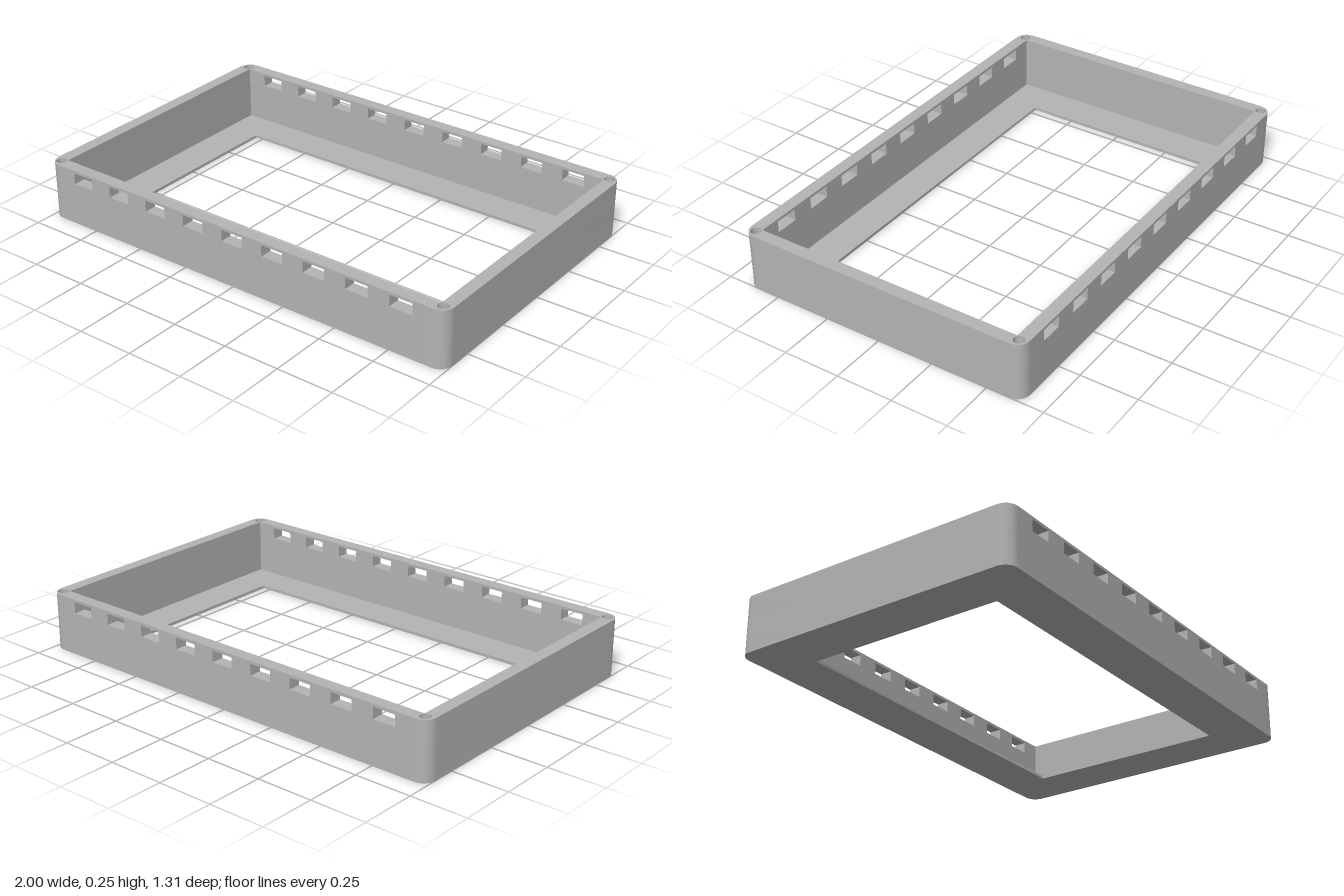
import * as THREE from 'three';
import { toCreasedNormals } from 'three/addons/utils/BufferGeometryUtils.js';

const W = 1, D = 0.656, H = 0.253;      // outer half width, half depth, height
const IW = 0.945, ID = 0.601;           // inner half sizes of the walls
const R = 0.055;                        // outer corner radius
const FLOOR = 0.013;                    // base plate thickness
const JOIN = 0.9;                       // where long walls meet the end pieces
const HOLE_BOTTOM = 0.15;               // depth level of the blind screw holes

function roundedRect(path, w, d, r) {
  path.moveTo(-w + r, -d);
  path.lineTo(w - r, -d);
  path.absarc(w - r, -d + r, r, -Math.PI / 2, 0);
  path.lineTo(w, d - r);
  path.absarc(w - r, d - r, r, 0, Math.PI / 2);
  path.lineTo(-w + r, d);
  path.absarc(-w + r, d - r, r, Math.PI / 2, Math.PI);
  path.lineTo(-w, -d + r);
  path.absarc(-w + r, -d + r, r, Math.PI, Math.PI * 1.5);
  return path;
}

// C-shaped plan of one end wall with its two rounded corners
function endPlan(withHoles) {
  const s = new THREE.Shape();
  s.moveTo(JOIN, -D);
  s.lineTo(W - R, -D);
  s.absarc(W - R, -D + R, R, -Math.PI / 2, 0);
  s.lineTo(W, D - R);
  s.absarc(W - R, D - R, R, 0, Math.PI / 2);
  s.lineTo(JOIN, D);
  s.lineTo(JOIN, ID);
  s.lineTo(IW, ID);
  s.lineTo(IW, -ID);
  s.lineTo(JOIN, -ID);
  s.closePath();
  if (withHoles) {
    for (const z of [-0.619, 0.619]) {
      s.holes.push(new THREE.Path().absarc(0.963, z, 0.0225, 0, Math.PI * 2, true));
    }
  }
  return s;
}

// Extrude a plan upward between two heights
function slab(shape, y0, y1) {
  const g = new THREE.ExtrudeGeometry(shape, { depth: y1 - y0, bevelEnabled: false, curveSegments: 12 });
  g.rotateX(-Math.PI / 2);
  g.translate(0, y0, 0);
  return toCreasedNormals(g, 0.6);
}

export function createModel() {
  const model = new THREE.Group();
  model.name = 'slottedFrame';
  const grey = new THREE.MeshStandardMaterial({ color: 0xb4b4b4 });
  grey.name = 'plainGrey';

  const add = (name, geometry, turn = 0) => {
    const mesh = new THREE.Mesh(geometry, grey);
    mesh.name = name;
    mesh.rotation.y = turn;
    model.add(mesh);
  };

  // Base plate with its large window
  const base = roundedRect(new THREE.Shape(), W, D, R);
  base.holes.push(roundedRect(new THREE.Path(), 0.784, 0.445, 0.006));
  add('basePlate', slab(base, 0, FLOOR));

  // Long wall with nine slots near the top edge
  const wall = new THREE.Shape();
  wall.moveTo(-JOIN, FLOOR);
  wall.lineTo(JOIN, FLOOR);
  wall.lineTo(JOIN, H);
  wall.lineTo(-JOIN, H);
  wall.closePath();
  for (let i = -4; i <= 4; i++) {
    const x = i * 0.201, y0 = 0.191, y1 = 0.241, h = 0.051;
    const slot = new THREE.Path();
    slot.moveTo(x - h, y0);
    slot.lineTo(x - h, y1);
    slot.lineTo(x + h, y1);
    slot.lineTo(x + h, y0);
    slot.closePath();
    wall.holes.push(slot);
  }
  const longWall = new THREE.ExtrudeGeometry(wall, { depth: D - ID, bevelEnabled: false });
  longWall.translate(0, 0, ID);

  // End walls: solid below, with blind screw holes above
  const endLower = slab(endPlan(false), FLOOR, HOLE_BOTTOM);
  const endUpper = slab(endPlan(true), HOLE_BOTTOM, H);

  add('frontWall', longWall);
  add('backWall', longWall, Math.PI);
  for (const [side, turn] of [['left', 0], ['right', Math.PI]]) {
    add(side + 'WallLower', endLower, turn);
    add(side + 'WallUpper', endUpper, turn);
  }
  return model;
}
